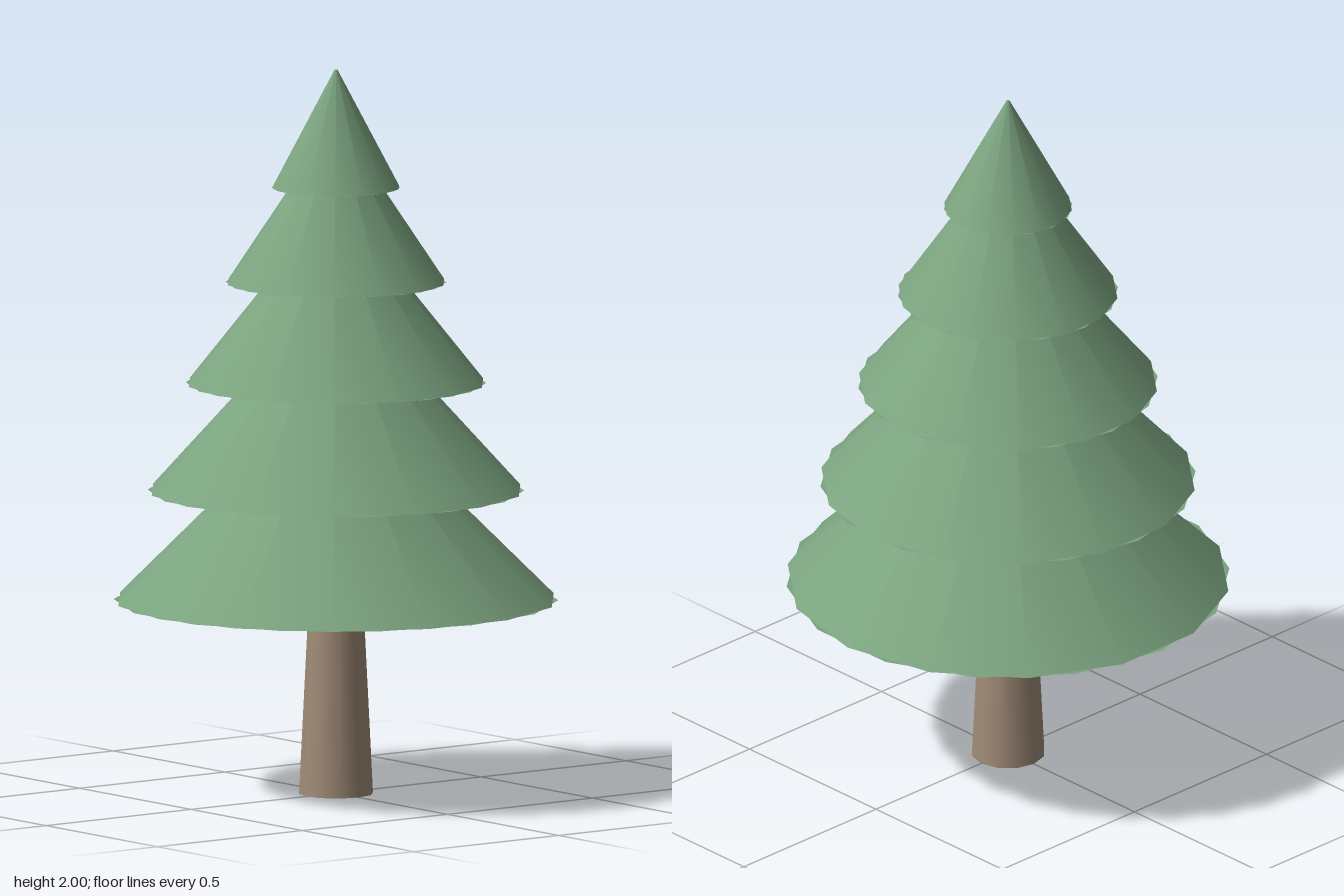
import * as THREE from 'three';

const SIDES = 14;

export function createModel() {
  const tree = new THREE.Group();
  tree.name = 'pineTree';

  const needles = new THREE.MeshStandardMaterial({ color: 0x7ba37f });
  needles.name = 'needleGreen';
  const needlesUnder = new THREE.MeshStandardMaterial({ color: 0x7ba37f, side: THREE.DoubleSide });
  needlesUnder.name = 'needleGreenUnderside';
  const bark = new THREE.MeshStandardMaterial({ color: 0xa18c78 });
  bark.name = 'barkBrown';

  // Tapered trunk, reaching just inside the lowest tier
  const trunk = new THREE.Mesh(new THREE.CylinderGeometry(0.075, 0.102, 0.54, 12), bark);
  trunk.name = 'trunk';
  trunk.position.y = 0.27;
  tree.add(trunk);

  // Foliage tiers, bottom to top: [base radius, base height, apex height]
  const tiers = [
    [0.608, 0.535, 1.135],
    [0.515, 0.838, 1.4],
    [0.411, 1.135, 1.645],
    [0.302, 1.413, 1.86],
    [0.176, 1.675, 2.0],
  ];
  tiers.forEach(([radius, base, apex], i) => {
    const tier = new THREE.Group();
    tier.name = `foliageTier${i + 1}`;
    tier.position.y = base;

    const height = apex - base;
    const cone = new THREE.Mesh(new THREE.CylinderGeometry(0.004, radius, height, SIDES), needles);
    cone.name = 'branches';
    cone.position.y = height / 2;

    // Flat underside, its corners falling between those of the cone
    const disc = new THREE.Mesh(new THREE.CircleGeometry(radius, SIDES), needlesUnder);
    disc.name = 'underside';
    disc.rotation.x = Math.PI / 2;

    tier.add(cone, disc);
    tree.add(tier);
  });

  return tree;
}
